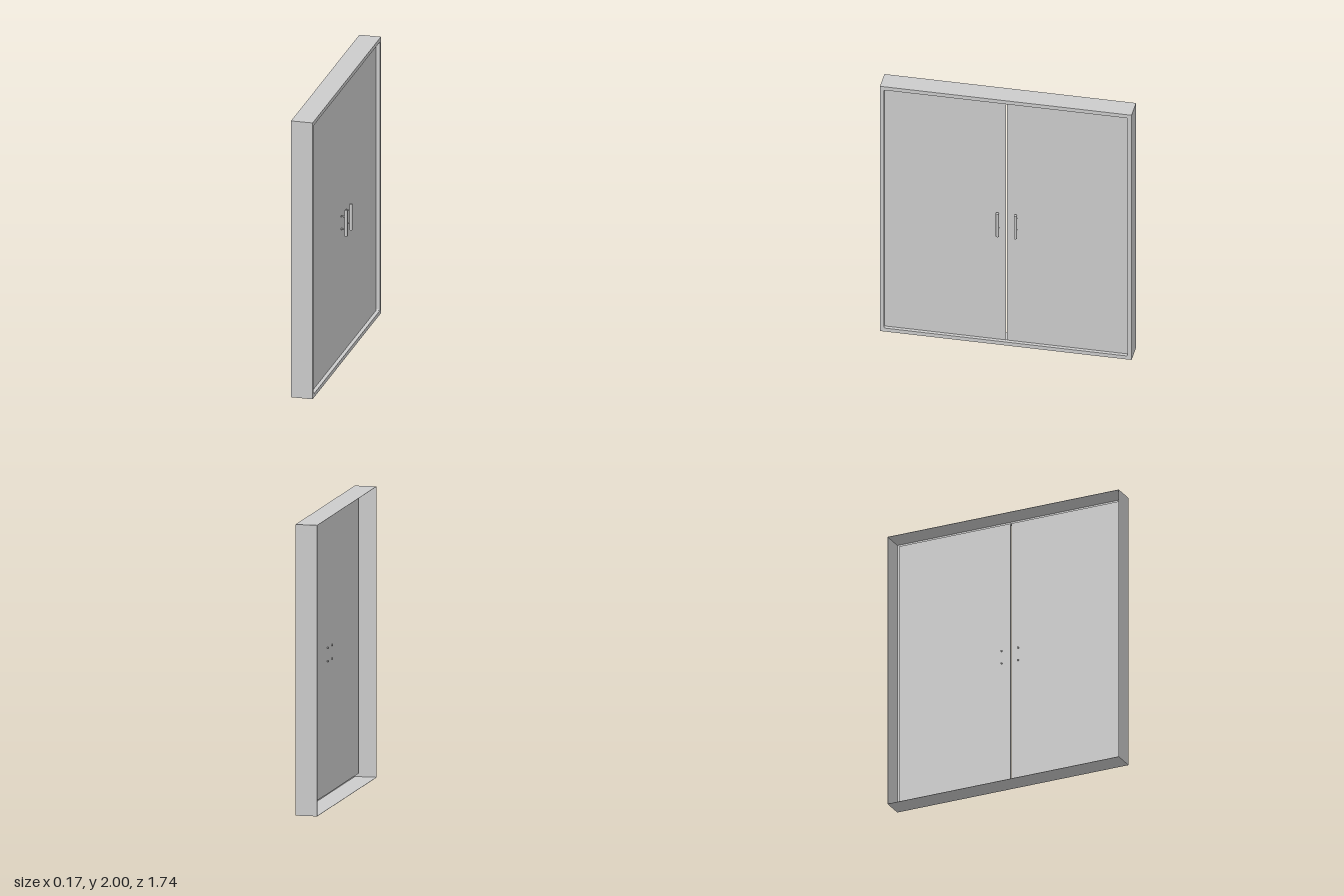
import * as THREE from 'three';

const H = 2, W = 1.744;           // overall height and width (along z)
const BACK = -0.087, FRONT = 0.065, DOOR = 0.039;
const LIP = 0.028;                // width of the front border

const material = new THREE.MeshStandardMaterial({ color: 0xcccccc, side: THREE.DoubleSide });

// Rectangle inset from the overall outline, with optional rounded corners
function outline(Type, inset, r = 0) {
  const a = W / 2 - inset, b = inset, t = H - inset;
  const s = new Type();
  if (!r) {
    s.moveTo(-a, b).lineTo(a, b).lineTo(a, t).lineTo(-a, t).closePath();
    return s;
  }
  s.moveTo(-a + r, b).lineTo(a - r, b).quadraticCurveTo(a, b, a, b + r);
  s.lineTo(a, t - r).quadraticCurveTo(a, t, a - r, t);
  s.lineTo(-a + r, t).quadraticCurveTo(-a, t, -a, t - r);
  s.lineTo(-a, b + r).quadraticCurveTo(-a, b, -a + r, b);
  return s;
}

// Rectangular ring running from x0 to x1
function ring(name, outer, outerR, inner, innerR, x0, x1) {
  const shape = outline(THREE.Shape, outer, outerR);
  shape.holes.push(outline(THREE.Path, inner, innerR));
  const g = new THREE.ExtrudeGeometry(shape, { depth: x1 - x0, bevelEnabled: false, curveSegments: 4 });
  g.rotateY(Math.PI / 2).translate(x0, 0, 0);
  return part(name, g);
}

function part(name, geometry, x = 0, y = 0, z = 0) {
  const m = new THREE.Mesh(geometry, material);
  m.name = name;
  m.position.set(x, y, z);
  return m;
}

// Upright bar on two posts whose ends pass through the door
function makeHandle(name, z) {
  const handle = new THREE.Group();
  handle.name = name;
  handle.add(part('handleBar', new THREE.CylinderGeometry(0.011, 0.011, 0.188, 20), 0.076, 0.985, z));
  const x0 = 0.024, x1 = 0.072;
  for (const y of [0.939, 1.031]) {
    const post = new THREE.CylinderGeometry(0.006, 0.006, x1 - x0, 12).rotateZ(Math.PI / 2);
    handle.add(part('handlePost', post, (x0 + x1) / 2, y, z));
  }
  return handle;
}

export function createModel() {
  const model = new THREE.Group();
  model.name = 'doubleDoor';

  // Thin open-backed casing, front border and the jamb stepping in to the doors
  model.add(ring('outerCasing', 0, 0, 0.002, 0, BACK, FRONT));
  model.add(ring('frontBorder', 0, 0, LIP, 0.01, FRONT - 0.002, FRONT));
  model.add(ring('jamb', LIP - 0.002, 0.01, LIP, 0.01, DOOR - 0.004, FRONT));

  // Two door leaves with a narrow gap between them
  const gap = 0.006, leafW = W / 2 - LIP - gap / 2, leafH = H - 2 * LIP;
  for (const side of [1, -1]) {
    const leaf = new THREE.BoxGeometry(0.005, leafH, leafW);
    model.add(part(side > 0 ? 'frontDoorLeaf' : 'rearDoorLeaf', leaf,
      DOOR - 0.0025, H / 2, side * (gap + leafW) / 2));
  }

  model.add(makeHandle('frontHandle', 0.056), makeHandle('rearHandle', -0.069));
  return model;
}
